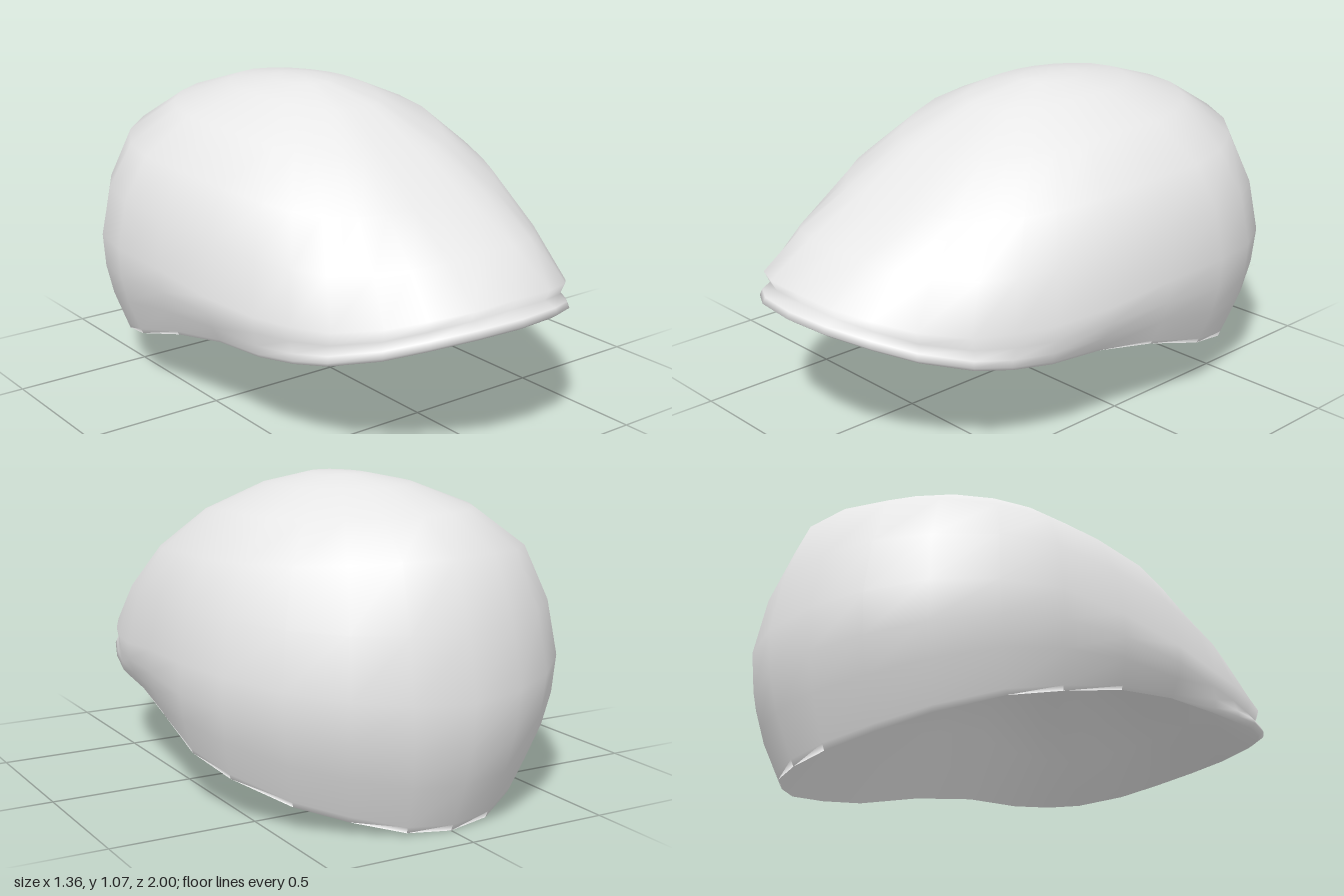
import * as THREE from 'three';

// Half outlines from centre front to centre back, as [x, y, z]
const CROWN_EDGE = [
  [0, 0.55, 0.96], [0.16, 0.54, 0.945], [0.29, 0.52, 0.885], [0.39, 0.485, 0.79], [0.49, 0.455, 0.65],
  [0.55, 0.45, 0.52], [0.595, 0.45, 0.38], [0.645, 0.47, 0.18], [0.67, 0.5, -0.08], [0.68, 0.51, -0.33],
  [0.63, 0.5, -0.54], [0.52, 0.48, -0.73], [0.37, 0.46, -0.87], [0.2, 0.45, -0.96], [0, 0.44, -1],
];
const RIM = [
  [0, 0.455, 0.975], [0.16, 0.45, 0.955], [0.29, 0.42, 0.88], [0.39, 0.38, 0.78], [0.49, 0.342, 0.64],
  [0.535, 0.322, 0.52], [0.57, 0.308, 0.38], [0.59, 0.3, 0.18], [0.612, 0.26, -0.05], [0.618, 0.19, -0.29],
  [0.57, 0.145, -0.47], [0.445, 0.085, -0.655], [0.305, 0.045, -0.765], [0.15, 0.01, -0.855], [0, 0, -0.88],
];
// How strongly the brim fold shows at each station
const BRIM = [1, 1, 1, 1, 1, 0.85, 0.6, 0.2, 0, 0, 0, 0, 0, 0, 0];

// Crown profiles: [distance out from apex, height], both as fractions
const APEX = new THREE.Vector3(0, 1.07, -0.17);
const FRONT = [[0.862, 0.21], [0.684, 0.43], [0.507, 0.67], [0.302, 0.89], [0.107, 0.99]];
const SIDE = [[0.955, 0.3], [0.84, 0.57], [0.61, 0.8], [0.33, 0.94], [0.14, 0.99]];
const BACK = [[0.952, 0.333], [0.855, 0.68], [0.64, 0.85], [0.373, 0.96], [0.13, 0.998]];

// Hollow underside: middle of the opening and how far the inside domes up
const OPENING = new THREE.Vector3(0, 0.24, 0.04);
const HOLLOW = 0.55;

const lerp = THREE.MathUtils.lerp;
const vec = (p) => new THREE.Vector3(...p);
const spread = (p, s, y) => new THREE.Vector3(p.x * s, y, p.z * s);

// Band between crown edge and rim: a plain curved wall blended into the brim fold
function bandRow(t, fold) {
  return RIM.map((r, k) => {
    const rim = vec(r), edge = vec(CROWN_EDGE[k]);
    const wall = edge.clone().lerp(rim, t);
    const s = 1 + 0.03 * Math.sin(Math.PI * t);
    wall.x *= s;
    wall.z *= s;
    return wall.lerp(fold(edge, rim), BRIM[k]);
  });
}

// One level of the crown, blending front, side and back profiles by direction
function crownRow(j) {
  return CROWN_EDGE.map((e) => {
    const p = vec(e), dz = p.z - APEX.z, end = dz > 0 ? FRONT : BACK;
    const a = Math.atan2(p.x / 0.68, dz / (dz > 0 ? 1.13 : 0.83));
    const w = Math.cos(a) ** 2;
    const u = lerp(SIDE[j][0], end[j][0], w), v = lerp(SIDE[j][1], end[j][1], w);
    return new THREE.Vector3(p.x * u, lerp(p.y, APEX.y, v), APEX.z + dz * u);
  });
}

// One loop of the domed inside, at fraction s from its middle to the rim;
// steep at the back and sides, shallower under the brim
function hollowRow(s) {
  return RIM.map((r, k) => {
    const p = OPENING.clone().lerp(vec(r), s);
    p.y += HOLLOW * (1 - s ** lerp(2.6, 1.4, BRIM[k]));
    return p;
  });
}

// Mirror half rows into closed loops, skin them and close both ends at a point
function skin(first, rows, last) {
  const pos = [...first.toArray()], idx = [];
  const n = (RIM.length - 1) * 2;
  for (const row of rows) {
    for (let k = 0; k < n; k++) {
      const p = row[k < RIM.length ? k : n - k];
      pos.push(k < RIM.length ? p.x : -p.x, p.y, p.z);
    }
  }
  pos.push(...last.toArray());
  rows.forEach((_, r) => {
    for (let k = 0; k < n; k++) {
      const a = 1 + r * n + k, b = 1 + r * n + ((k + 1) % n);
      if (r === 0) idx.push(0, b, a);
      if (r === rows.length - 1) idx.push(a, b, 1 + rows.length * n);
      else idx.push(a, b, b + n, a, b + n, a + n);
    }
  });
  const g = new THREE.BufferGeometry();
  g.setAttribute('position', new THREE.Float32BufferAttribute(pos, 3));
  g.setIndex(idx);
  g.computeVertexNormals();
  return g;
}

export function createModel() {
  const cloth = new THREE.MeshStandardMaterial({ color: 0xe7e7e7 });
  cloth.name = 'pale grey cloth';
  const group = new THREE.Group();
  group.name = 'flatCap';

  // Domed inside, from its middle out to the rim
  const hollow = [0.2, 0.4, 0.6, 0.8, 1].map(hollowRow);

  // Brim fold at the front, plain wall round the back
  const lip = bandRow(0.95, (e, r) => spread(r, 1.025, r.y + 0.018));
  const lipTop = bandRow(0.62, (e, r) => spread(r, 1.014, r.y + 0.038));
  const crease = bandRow(0.33, (e, r) => spread(e, 0.98, lerp(e.y, r.y, 0.42)));

  // Crown, from its widest line to the top
  const crown = [CROWN_EDGE.map(vec), ...FRONT.map((_, j) => crownRow(j))];

  const middle = OPENING.clone().setY(OPENING.y + HOLLOW);
  const cap = new THREE.Mesh(skin(middle, [...hollow, lip, lipTop, crease, ...crown], APEX), cloth);
  cap.name = 'cap';
  group.add(cap);
  return group;
}
